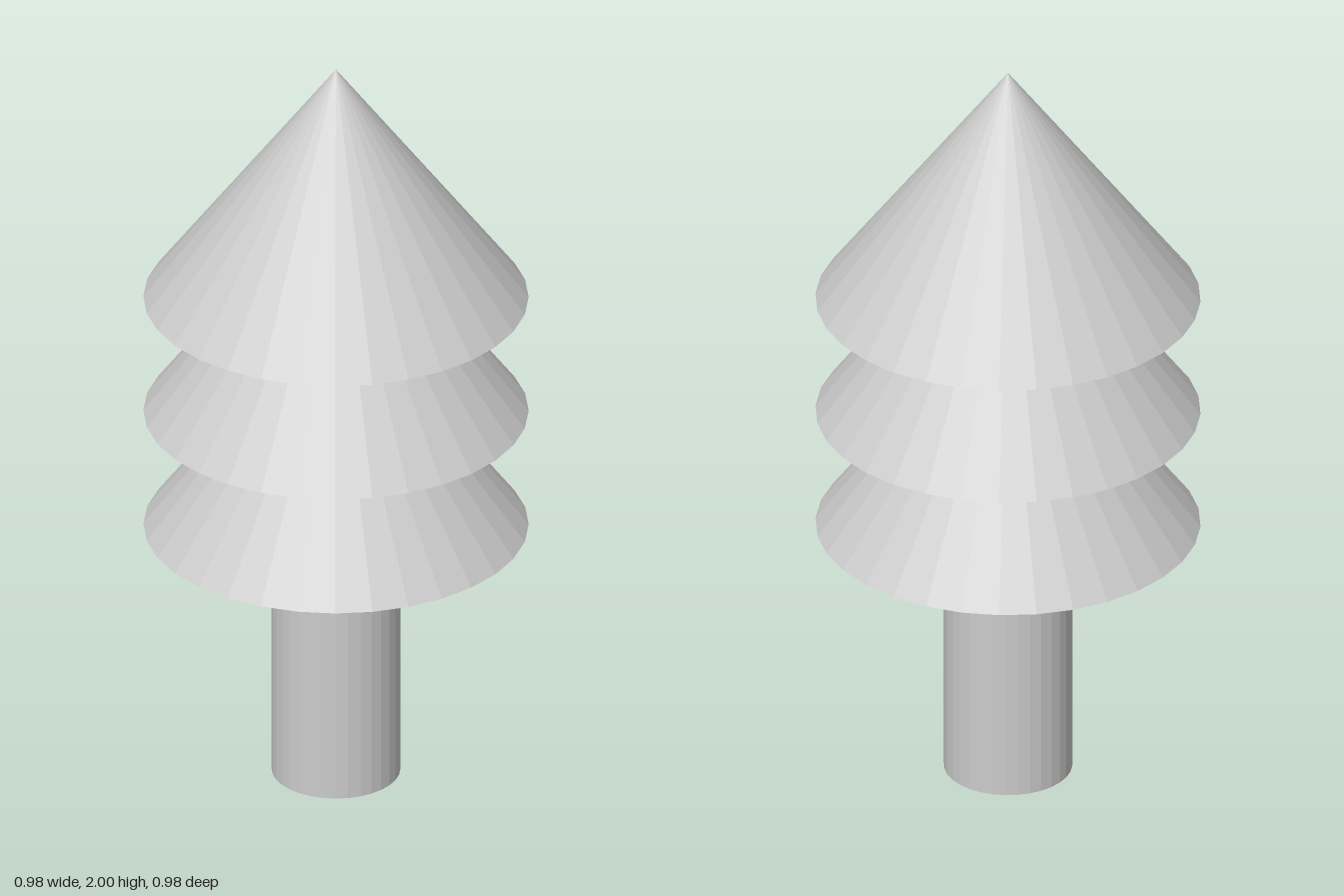
import * as THREE from 'three';

const SIDES = 32;

export function createModel() {
  const tree = new THREE.Group();
  tree.name = 'tree';
  const material = new THREE.MeshStandardMaterial({ color: 0xcccccc, flatShading: true });

  const add = (name, geometry, y) => {
    const mesh = new THREE.Mesh(geometry, material);
    mesh.name = name;
    mesh.position.y = y;
    tree.add(mesh);
  };

  // Trunk, standing on the ground and meeting the lowest tier
  const trunkHeight = 0.7;
  add('trunk', new THREE.CylinderGeometry(0.163, 0.163, trunkHeight, SIDES), trunkHeight / 2);

  // Three equal, overlapping cones of foliage
  const tierHeight = 0.65;
  const tiers = { lowerFoliage: 0.7, middleFoliage: 1.025, upperFoliage: 1.35 };
  for (const [name, base] of Object.entries(tiers)) {
    add(name, new THREE.ConeGeometry(0.488, tierHeight, SIDES), base + tierHeight / 2);
  }

  return tree;
}
